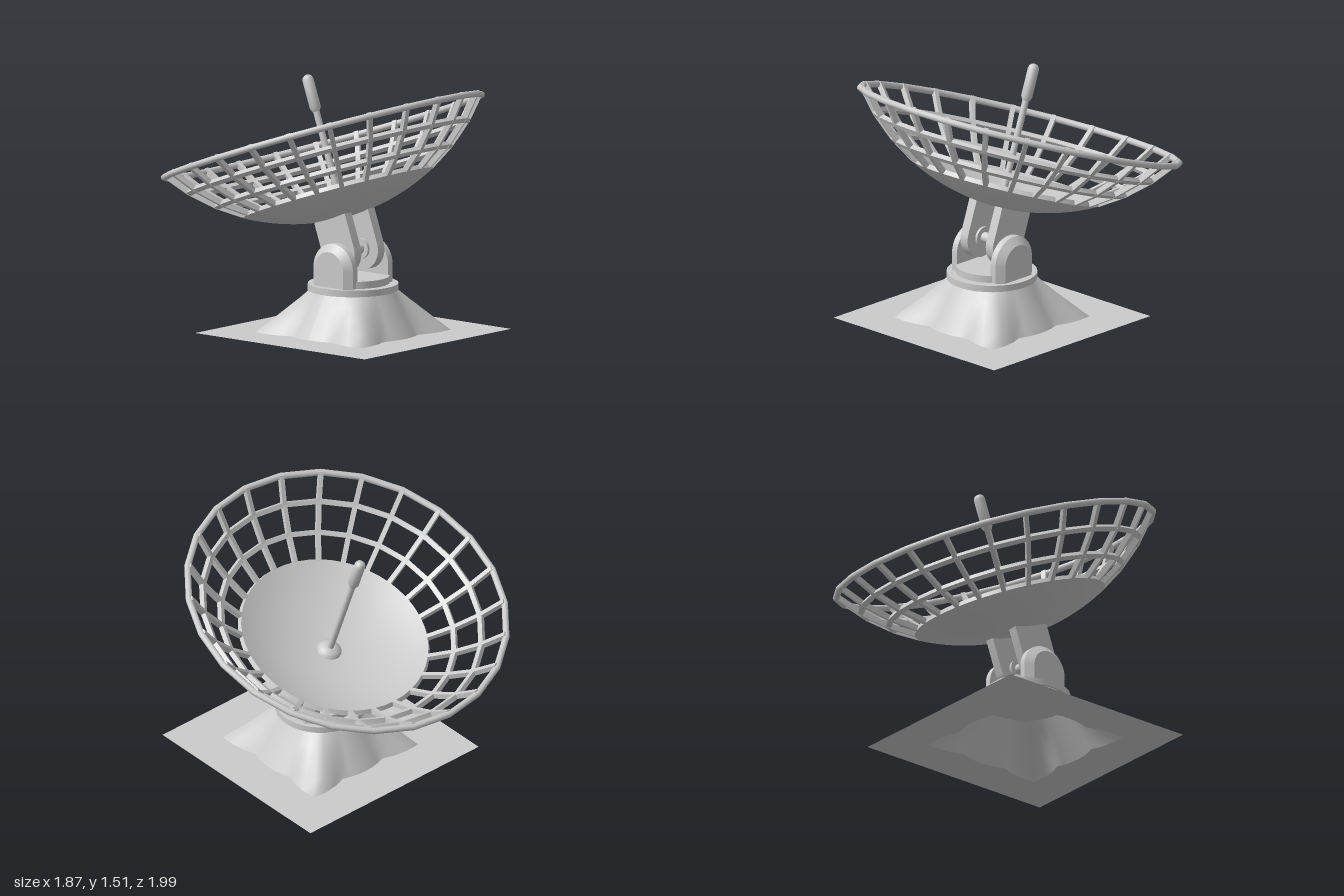
import * as THREE from 'three';
import { toCreasedNormals } from 'three/addons/utils/BufferGeometryUtils.js';

const TILT = THREE.MathUtils.degToRad(19.7);
const CX = 0.237;              // centre of the pedestal
const SEG = 24;                // ribs around the dish
const RIM = 0.98, BALL = 1.21; // rim radius and sphere radius of the bowl
const BALL_Y = 0.71;           // sphere centre above the rim plane

const grey = new THREE.MeshStandardMaterial({ color: 0xcccccc });
const greyDouble = new THREE.MeshStandardMaterial({ color: 0xcccccc, side: THREE.DoubleSide });

function add(parent, name, geometry, x = 0, y = 0, z = 0, material = grey) {
  const mesh = new THREE.Mesh(geometry, material);
  mesh.name = name;
  mesh.position.set(x, y, z);
  parent.add(mesh);
  return mesh;
}

const lathe = (points, seg, crease = 0.6) =>
  toCreasedNormals(new THREE.LatheGeometry(points.map(p => new THREE.Vector2(...p)), seg), crease);

// Point [radius, height] on the bowl, at a given sphere radius
const onBowl = (angle, radius = BALL) =>
  [radius * Math.sin(angle), BALL_Y - radius * Math.cos(angle)];

// Footprint: a circle with four pointed corners
function footRadius(theta) {
  const quarter = Math.PI / 2;
  const a = ((theta % quarter) + quarter) % quarter;
  const fromAxis = THREE.MathUtils.radToDeg(Math.min(a, quarter - a));
  return 0.408 + 0.172 * Math.max(0, (fromAxis - 22.5) / 22.5);
}

function createPedestal() {
  const group = new THREE.Group();
  group.name = 'pedestal';
  group.position.x = CX;

  // Flat ground plate with an opening under the base
  const plate = new THREE.Shape();
  const h = 0.665;
  plate.moveTo(-h, -h).lineTo(h, -h).lineTo(h, h).lineTo(-h, h).closePath();
  const opening = [];
  for (let i = 0; i < 48; i++) {
    const t = -i / 48 * Math.PI * 2;
    opening.push(new THREE.Vector2(Math.cos(t), Math.sin(t)).multiplyScalar(footRadius(t)));
  }
  plate.holes.push(new THREE.Path(opening));
  add(group, 'groundPlate', new THREE.ShapeGeometry(plate).rotateX(-Math.PI / 2), 0, 0, 0, greyDouble);

  // Skirt blending from the footprint to a circle
  const top = 0.255, height = 0.255;
  const skirt = new THREE.CylinderGeometry(1, 1, height, 48, 4, true).translate(0, height / 2, 0);
  const p = skirt.attributes.position;
  for (let i = 0; i < p.count; i++) {
    const t = Math.atan2(p.getZ(i), p.getX(i));
    const r = THREE.MathUtils.lerp(footRadius(t), top, p.getY(i) / height);
    p.setXYZ(i, r * Math.cos(t), p.getY(i), r * Math.sin(t));
  }
  skirt.computeVertexNormals();
  add(group, 'skirt', skirt, 0, 0, 0, greyDouble);

  add(group, 'collar', new THREE.CylinderGeometry(0.27, 0.27, 0.04, 32), 0, 0.272, 0);
  add(group, 'turntable', new THREE.CylinderGeometry(0.217, 0.217, 0.045, 32), 0, 0.313, 0);

  // Arched bearing blocks, chamfered on the outer face
  const R = 0.155, k = 0.71, pivotY = 0.395;
  const arch = new THREE.Shape();
  arch.moveTo(-R, -0.105).lineTo(R, -0.105).lineTo(R, 0);
  arch.absarc(0, 0, R, 0, Math.PI, false);
  arch.closePath();
  const block = new THREE.ExtrudeGeometry(arch, { depth: 0.08, steps: 2, bevelEnabled: false, curveSegments: 20 });
  const b = block.attributes.position;
  for (let i = 0; i < b.count; i++) {
    if (b.getZ(i) < 0.07) continue;
    b.setX(i, b.getX(i) * k);
    if (b.getY(i) > 0) b.setY(i, b.getY(i) * k);
  }
  const blockGeometry = toCreasedNormals(block, 0.5);
  for (const s of [1, -1]) {
    const mesh = add(group, s > 0 ? 'frontBearing' : 'backBearing', blockGeometry, 0, pivotY, s * 0.14);
    if (s < 0) mesh.rotation.y = Math.PI;
  }
  return group;
}

function createCradle() {
  const group = new THREE.Group();
  group.name = 'cradle';
  group.position.set(0.24, 0.49, 0);
  group.rotation.z = TILT;

  // Two round-ended arms carrying the dish
  const w = 0.127, length = 0.213, thick = 0.06;
  const outline = new THREE.Shape();
  outline.moveTo(w, 0).lineTo(w, length).lineTo(-w, length).lineTo(-w, 0);
  outline.absarc(0, 0, w, Math.PI, Math.PI * 2, false);
  const arm = toCreasedNormals(
    new THREE.ExtrudeGeometry(outline, { depth: thick, bevelEnabled: false, curveSegments: 20 })
      .translate(0, 0, -thick / 2), 0.5);
  for (const s of [1, -1]) {
    add(group, 'arm', arm, 0, 0, s * 0.105);
    add(group, 'washer', new THREE.CylinderGeometry(0.062, 0.062, 0.018, 24).rotateX(Math.PI / 2), 0, 0, s * 0.068);
  }
  add(group, 'axle', new THREE.CylinderGeometry(0.032, 0.032, 0.3, 20).rotateX(Math.PI / 2));
  return group;
}

function createDish() {
  const group = new THREE.Group();
  group.name = 'dish';
  group.position.set(0, 1.148, 0);
  group.rotation.z = TILT;

  const angles = [0.585, 0.725, 0.865, RIM].map(r => Math.asin(r / BALL));

  // Solid bowl: outside profile, then back along the inside
  const profile = [];
  const steps = 10, inner = BALL - 0.03;
  for (let i = 0; i <= steps; i++) profile.push(onBowl(angles[0] * i / steps));
  for (let i = steps; i >= 0; i--) profile.push(onBowl(angles[0] * i / steps, inner));
  add(group, 'bowl', lathe(profile, SEG * 2));

  // Square hoops between bowl and rim
  for (const a of angles.slice(1, 3)) {
    const d = 0.013;
    const hoop = [
      onBowl(a - d, BALL), onBowl(a + d, BALL), onBowl(a + d, inner),
      onBowl(a - d, inner), onBowl(a - d, BALL),
    ];
    add(group, 'hoop', lathe(hoop, SEG));
  }

  // Round rim
  add(group, 'rim', new THREE.TorusGeometry(RIM - 0.005, 0.02, 10, SEG).rotateX(Math.PI / 2));

  // Ribs: straight bars from hoop to hoop
  for (let i = 0; i < SEG; i++) {
    const rib = new THREE.Group();
    rib.name = 'rib';
    rib.rotation.y = i / SEG * Math.PI * 2;
    for (let j = 0; j < 3; j++) {
      const [x0, y0] = onBowl(angles[j], BALL - 0.015);
      const [x1, y1] = onBowl(angles[j + 1], BALL - 0.015);
      const bar = add(rib, 'ribBar',
        new THREE.BoxGeometry(Math.hypot(x1 - x0, y1 - y0) + 0.01, 0.032, 0.028),
        (x0 + x1) / 2, (y0 + y1) / 2, 0);
      bar.rotation.z = Math.atan2(y1 - y0, x1 - x0);
    }
    group.add(rib);
  }

  // Feed: domed foot, slim mast and rounded receiver
  const floor = BALL_Y - inner;
  add(group, 'feedFoot', lathe([[0.077, -0.01], [0.072, 0.012], [0.055, 0.028], [0.03, 0.038], [0, 0.042]], 24, 1),
    0, floor, 0);
  add(group, 'feedMast', new THREE.CylinderGeometry(0.02, 0.02, 0.66, 16), 0, floor + 0.33, 0);
  add(group, 'feedReceiver', lathe([
    [0, 0.15], [0.022, 0.15], [0.034, 0.175], [0.034, 0.345],
    [0.029, 0.362], [0.018, 0.373], [0, 0.378],
  ], 20, 0.9));
  return group;
}

export function createModel() {
  const model = new THREE.Group();
  model.name = 'satelliteDish';
  model.add(createPedestal(), createCradle(), createDish());
  return model;
}
